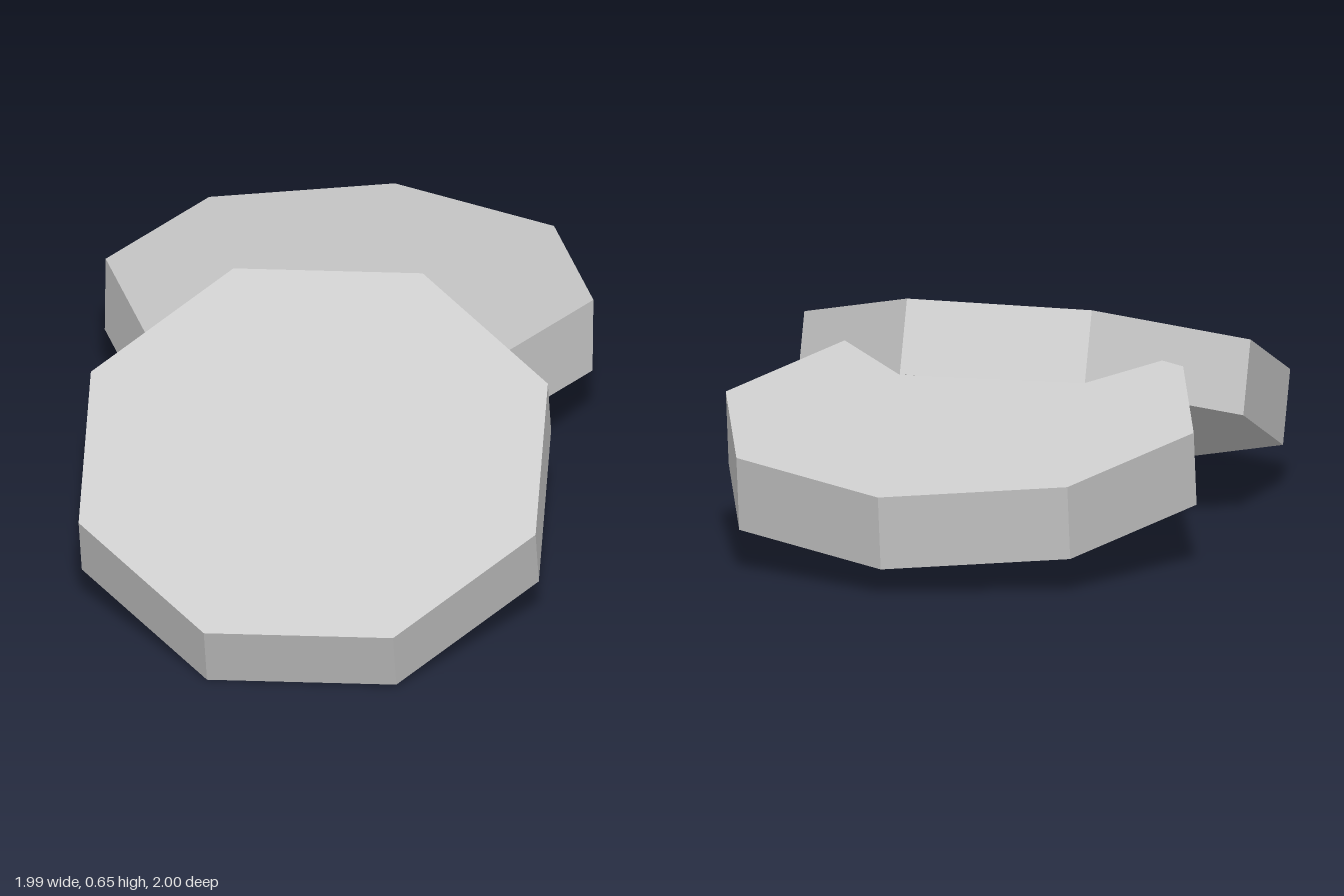
import * as THREE from 'three';

const RADIUS = 0.697;
const THICKNESS = 0.216;

// Octagonal disc placed by the centre of its top face, its tilt and one corner
function makeDisc(name, material, topCentre, normal, cornerDirection) {
  const geometry = new THREE.CylinderGeometry(RADIUS, RADIUS, THICKNESS, 8);
  geometry.translate(0, -THICKNESS / 2, 0);
  const up = new THREE.Vector3(...normal).normalize();
  const corner = new THREE.Vector3(...cornerDirection).projectOnPlane(up).normalize();
  const side = new THREE.Vector3().crossVectors(up, corner);
  const disc = new THREE.Mesh(geometry, material);
  disc.name = name;
  disc.quaternion.setFromRotationMatrix(new THREE.Matrix4().makeBasis(side, up, corner));
  disc.position.set(...topCentre);
  return disc;
}

export function createModel() {
  const model = new THREE.Group();
  model.name = 'overlappingDiscs';

  const grey = new THREE.MeshStandardMaterial({ color: 0xcccccc, flatShading: true });
  grey.name = 'light grey';

  // Front disc leans on the rear one, sloping down to the front left
  model.add(makeDisc('frontDisc', grey, [0.365, 0.435, 0.355], [0.254, 1, 0.26], [-0.255, -0.103, 0.645]));

  // Rear disc slopes gently down to the back right
  model.add(makeDisc('rearDisc', grey, [-0.305, 0.41, -0.31], [-0.125, 1, -0.115], [-0.055, 0.073, 0.69]));

  return model;
}
